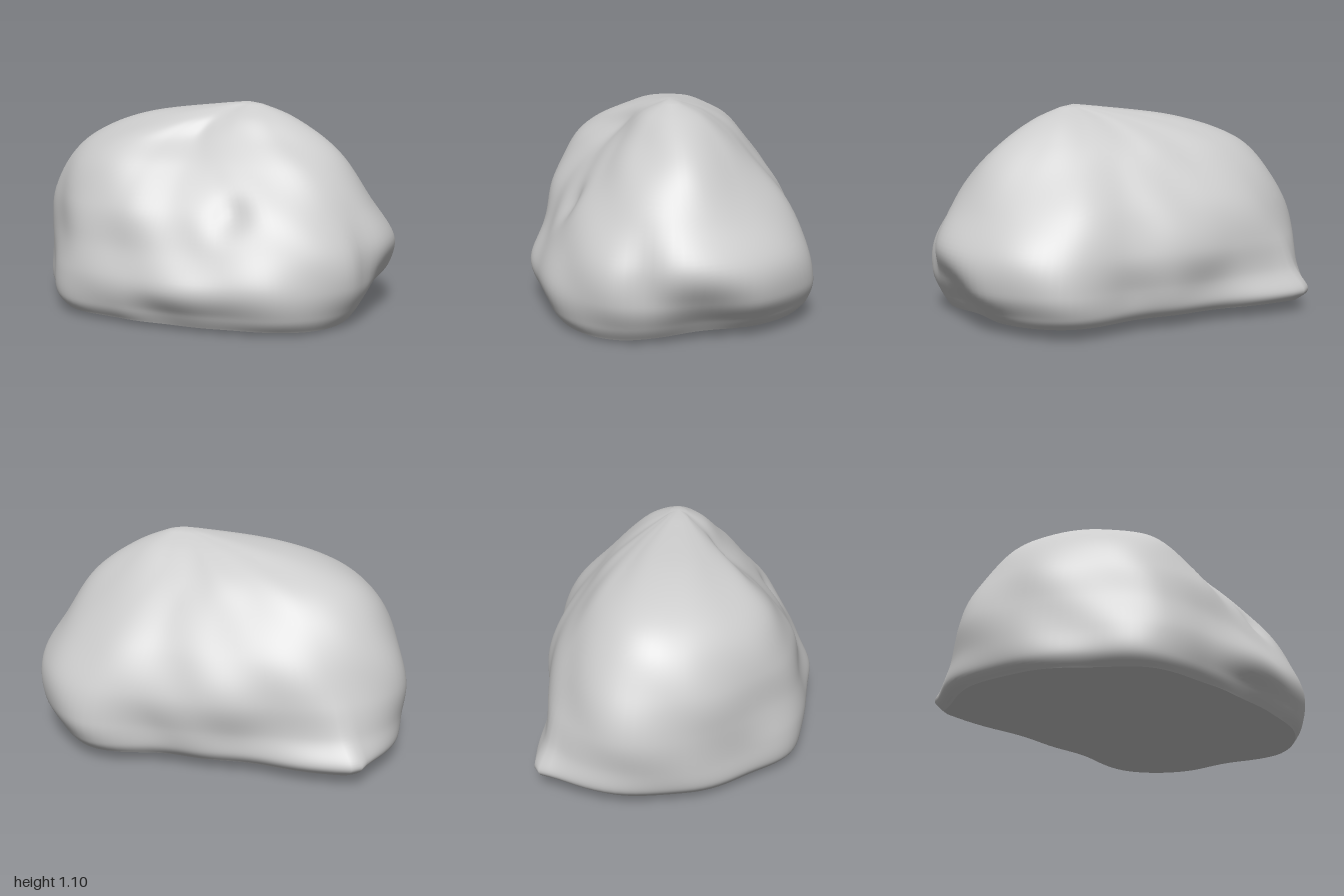
import * as THREE from 'three';

// Horizontal outlines: height, centre x, then 16 radii running from +x towards +z
const outlines = [
  { y: 0.11, cx: 0, r: [0.87, 0.92, 0.86, 0.72, 0.67, 0.71, 0.82, 0.85, 0.95, 1.03, 0.98, 0.76, 0.69, 0.71, 0.91, 0.92] },
  { y: 0.23, cx: 0, r: [0.95, 0.97, 0.88, 0.77, 0.73, 0.73, 0.82, 0.85, 0.96, 1.03, 0.94, 0.75, 0.70, 0.72, 0.94, 0.99] },
  { y: 0.40, cx: 0, r: [1.00, 0.95, 0.82, 0.69, 0.65, 0.68, 0.78, 0.84, 0.95, 1.03, 0.92, 0.76, 0.71, 0.73, 0.90, 0.98] },
  { y: 0.60, cx: 0, r: [0.89, 0.82, 0.70, 0.58, 0.55, 0.63, 0.74, 0.81, 0.91, 0.97, 0.84, 0.69, 0.63, 0.64, 0.76, 0.84] },
  { y: 0.80, cx: 0, r: [0.75, 0.66, 0.50, 0.40, 0.38, 0.48, 0.63, 0.71, 0.81, 0.84, 0.69, 0.54, 0.48, 0.47, 0.56, 0.67] },
  { y: 0.93, cx: 0, r: [0.61, 0.49, 0.34, 0.25, 0.23, 0.30, 0.45, 0.54, 0.64, 0.66, 0.53, 0.41, 0.36, 0.35, 0.42, 0.53] },
  { y: 1.03, cx: 0.08, r: [0.37, 0.30, 0.21, 0.15, 0.14, 0.16, 0.22, 0.32, 0.43, 0.42, 0.30, 0.23, 0.20, 0.20, 0.25, 0.33] },
];
// The lower edge and the peak repeat their neighbouring outline at a smaller size
const shrink = (outline, y, cx, s) => ({ y, cx, r: outline.r.map((r) => r * s) });
const levels = [
  shrink(outlines[0], 0.05, 0, 0.95),
  ...outlines,
  shrink(outlines[outlines.length - 1], 1.09, 0.2, 0.27),
];
const SEG = 128, STEPS = 8, CAP_RINGS = 10;

// Catmull-Rom interpolation of a function sampled at whole numbers
function spline(f, u) {
  const i = Math.floor(u), t = u - i;
  const a = f(i - 1), b = f(i), c = f(i + 1), d = f(i + 2);
  return b + 0.5 * t * (c - a + t * (2 * a - 5 * b + 4 * c - d + t * (3 * (b - c) + d - a)));
}

const bell = (d2, width) => Math.exp(-d2 / (width * width));

// Nearly flat underside with a shallow foot near the front left
const underside = (x, z) =>
  0.05 - 0.03 * z - 0.035 * bell((x - 0.63) ** 2 + (z - 0.3) ** 2, 0.2);

function surfacePoint(v, a) {
  const level = (i) => levels[THREE.MathUtils.clamp(i, 0, levels.length - 1)];
  let y = spline((i) => level(i).y, v);
  const cx = spline((i) => level(i).cx, v);
  let r = spline((i) => spline((k) => level(i).r[(k + 16) % 16], a * 16), v);
  const th = a * Math.PI * 2;
  // Gentle weathered lumps
  r *= 1 + 0.007 * Math.sin(5 * th + 9 * y) + 0.005 * Math.sin(11 * th - 13 * y + 1);
  // Sharp corner at the back right, fading out upwards
  r += 0.11 * Math.exp(-Math.abs(th - 3.9) / 0.12) * bell((y - 0.08) ** 2, 0.22);
  // Notch beside the left end
  r -= 0.03 * bell((th - 0.25) ** 2, 0.1) * bell((y - 0.35) ** 2, 0.2);
  let x = cx + r * Math.cos(th), z = r * Math.sin(th);
  // Small chipped hollow on the front, and a groove low on the left end
  if (z > 0) z -= 0.035 * bell((x - 0.3) ** 2 + (y - 0.58) ** 2, 0.09);
  if (x > 0.5) x -= 0.025 * bell((z + 0.1) ** 2 + (y - 0.18) ** 2, 0.18);
  y += (underside(x, z) - 0.05) * Math.max(0, 1 - (y - 0.05) / 0.2);
  return [x, y, z];
}

function meshFrom(name, positions, index, material) {
  const g = new THREE.BufferGeometry();
  g.setAttribute('position', new THREE.Float32BufferAttribute(positions, 3));
  g.setIndex(index);
  g.computeVertexNormals();
  const mesh = new THREE.Mesh(g, material);
  mesh.name = name;
  return mesh;
}

// Quads between successive rings; each ring has SEG points
function joinRings(index, rings) {
  for (let j = 0; j < rings - 1; j++) {
    for (let i = 0; i < SEG; i++) {
      const n = (i + 1) % SEG;
      const a = j * SEG + i, b = j * SEG + n;
      index.push(a, a + SEG, b, b, a + SEG, b + SEG);
    }
  }
}

export function createModel() {
  const group = new THREE.Group();
  group.name = 'boulder';
  const material = new THREE.MeshStandardMaterial({ color: 0xcccccc });

  // Sides and crown
  const pos = [], index = [];
  const rings = (levels.length - 1) * STEPS + 1;
  for (let j = 0; j < rings; j++) {
    for (let i = 0; i < SEG; i++) pos.push(...surfacePoint(j / STEPS, i / SEG));
  }
  joinRings(index, rings);
  const top = pos.length / 3, last = (rings - 1) * SEG;
  pos.push(0.22, 1.105, 0);
  for (let i = 0; i < SEG; i++) index.push(top, last + (i + 1) % SEG, last + i);
  group.add(meshFrom('rockBody', pos, index, material));

  // Underside, rings growing outwards to meet the body's lower edge
  const basePos = [], baseIndex = [];
  for (let j = 1; j <= CAP_RINGS; j++) {
    const s = j / CAP_RINGS;
    for (let i = 0; i < SEG; i++) {
      const [x, y, z] = surfacePoint(0, i / SEG);
      basePos.push(x * s, s === 1 ? y : underside(x * s, z * s), z * s);
    }
  }
  joinRings(baseIndex, CAP_RINGS);
  const centre = basePos.length / 3;
  basePos.push(0, underside(0, 0), 0);
  for (let i = 0; i < SEG; i++) baseIndex.push(centre, i, (i + 1) % SEG);
  group.add(meshFrom('rockUnderside', basePos, baseIndex, material));

  return group;
}
